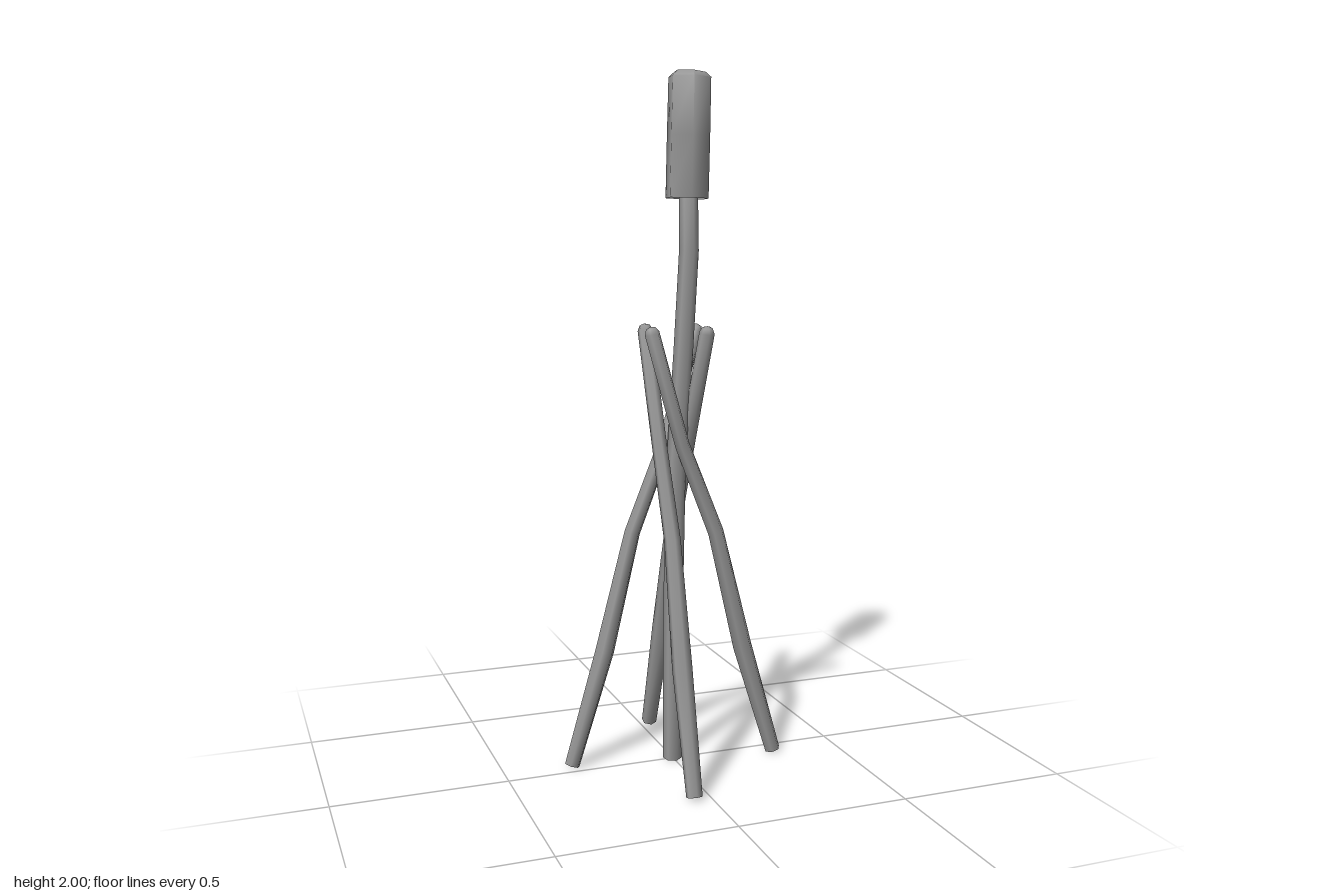
import * as THREE from 'three';
import { toCreasedNormals } from 'three/addons/utils/BufferGeometryUtils.js';

const material = new THREE.MeshStandardMaterial({ color: 0x969696, side: THREE.DoubleSide });

// Six-sided rod, open at its foot, through points [x, y, z, radius] listed from top to bottom.
function rod(name, points, turn) {
  const last = points.length - 1;
  const centres = points.map(([x, y, z]) => new THREE.Vector3(x, y, z));
  const up = new THREE.Vector3(0, 1, 0);
  const turns = centres.map((c, i) => {
    const dir = centres[Math.max(i - 1, 0)].clone().sub(centres[Math.min(i + 1, last)]).normalize();
    return new THREE.Quaternion().setFromUnitVectors(up, dir);
  });
  const geometry = new THREE.CylinderGeometry(1, 1, 1, 6, last, true, turn);
  const pos = geometry.attributes.position;
  const v = new THREE.Vector3();
  for (let i = 0; i < pos.count; i++) {
    v.fromBufferAttribute(pos, i);
    const ring = Math.round((0.5 - v.y) * last);
    v.y = 0;
    v.multiplyScalar(points[ring][3]).applyQuaternion(turns[ring]).add(centres[ring]);
    pos.setXYZ(i, v.x, v.y, v.z);
  }
  const mesh = new THREE.Mesh(toCreasedNormals(geometry, 1.2), material);
  mesh.name = name;
  return mesh;
}

export function createModel() {
  const group = new THREE.Group();
  group.name = 'bulrushStand';

  // Shared bend of the leaning stalks: [reach, height, radius], with a rounded tip
  const bend = [
    [-0.089, 1.291, 0], [-0.088, 1.286, 0.015], [-0.084, 1.272, 0.022], [0.012, 0.95, 0.022],
    [0.115, 0.69, 0.024], [0.2, 0.34, 0.029], [0.301, 0.007, 0.023],
  ];
  // Sideways offset of each stalk at its tip, crossing, bend, middle and foot
  const stalks = [
    { name: 'rightStalk', axis: 'x', sign: -1, side: [-0.04, -0.03, -0.03, -0.035, -0.036] },
    { name: 'leftStalk', axis: 'x', sign: 1, side: [0.06, 0.045, 0.048, 0.051, 0.052] },
    { name: 'frontStalk', axis: 'z', sign: 1, side: [-0.055, -0.046, -0.044, -0.046, -0.048] },
    { name: 'backStalk', axis: 'z', sign: -1, side: [0.071, 0.05, 0.044, 0.036, 0.03] },
  ];
  for (const { name, axis, sign, side } of stalks) {
    const points = bend.map(([reach, y, r], i) => {
      const s = side[Math.max(i - 2, 0)];
      return axis === 'x' ? [sign * reach, y, s, r] : [s, y, sign * reach, r];
    });
    group.add(rod(name, points, axis === 'x' ? Math.PI / 6 : 0));
  }

  // Tall middle stem that carries the seed head
  group.add(rod('stem', [
    [0.048, 1.75, -0.008, 0], [0.048, 1.7, -0.005, 0.027], [0.046, 1.5, 0.006, 0.028],
    [0.028, 1.22, 0.01, 0.028], [0.008, 0.9, 0.005, 0.028], [0, 0.45, 0, 0.029], [-0.002, 0.002, 0, 0.028],
  ], 0.2));

  // Seed head with a shallow domed top
  group.add(rod('seedHead', [
    [0.057, 2, -0.016, 0], [0.057, 1.997, -0.016, 0.046], [0.056, 1.982, -0.016, 0.063],
    [0.052, 1.82, -0.015, 0.064], [0.047, 1.647, -0.013, 0.064],
  ], -0.15));

  return group;
}
